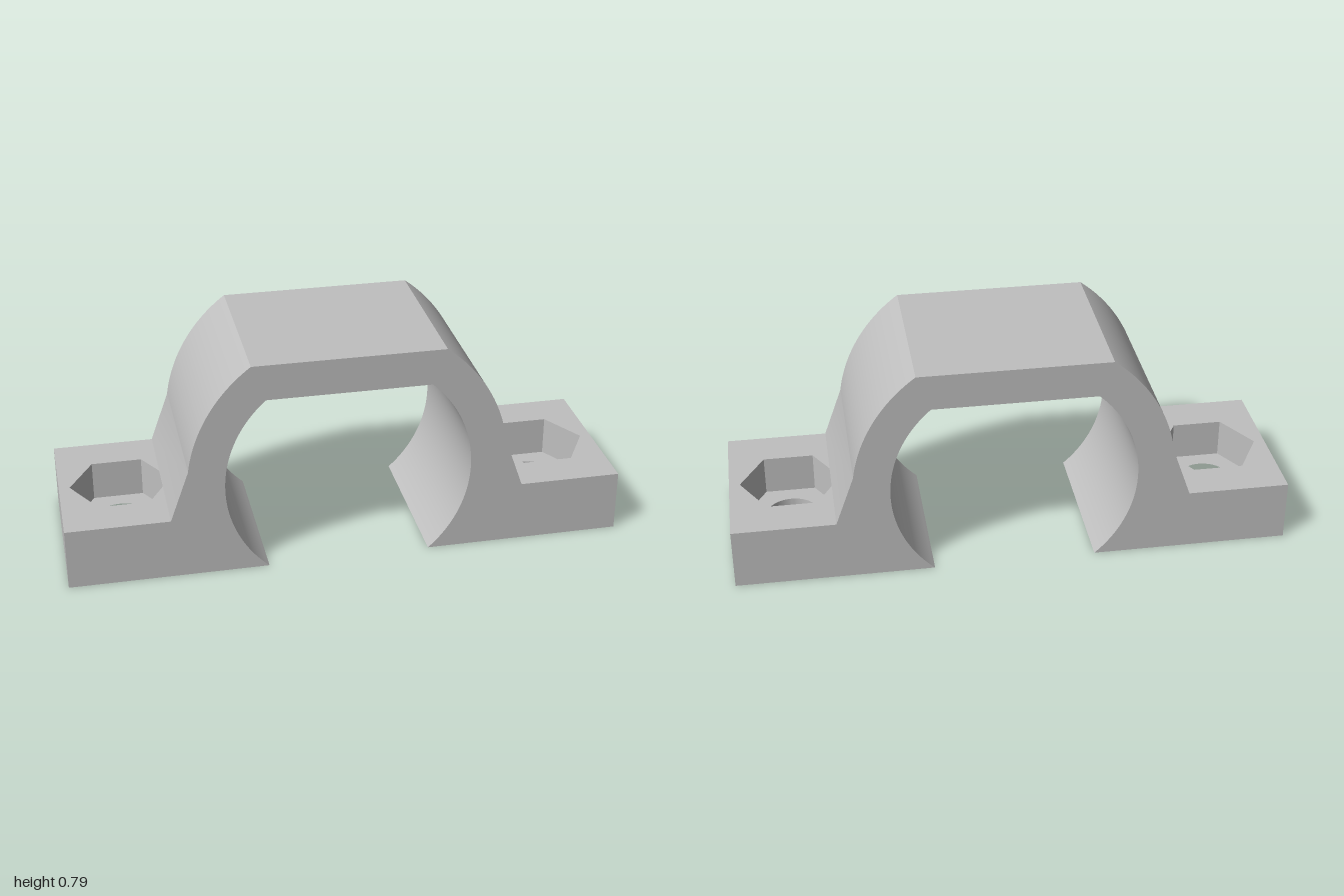
import * as THREE from 'three';
import { toCreasedNormals } from 'three/addons/utils/BufferGeometryUtils.js';

const DEPTH = 0.61;        // size along z
const FOOT = 0.224;        // foot height
const FLOOR = 0.08;        // floor of the hex pockets
const JOIN = 0.58;         // x where the foot pads meet the arch
const BOLT = 0.78;         // x of the bolt axes
const AXIS = 0.33;         // height of the bore axis
const INNER = 0.44, OUTER = 0.572;

const extrude = (shape, depth) => toCreasedNormals(
  new THREE.ExtrudeGeometry(shape, { depth, bevelEnabled: false, curveSegments: 32 }), 0.5);

// Arch profile: truncated bore inside, flat-topped shell with flared legs outside
function archShape() {
  const s = new THREE.Shape();
  const low = Math.asin((0.41 - AXIS) / OUTER);
  const high = Math.asin((0.79 - AXIS) / OUTER);
  const bore = Math.asin(AXIS / INNER);
  s.moveTo(INNER * Math.cos(bore), 0);
  s.lineTo(JOIN, 0);
  s.lineTo(JOIN, FOOT);
  s.lineTo(0.633, FOOT);
  s.absarc(0, AXIS, OUTER, low, high, false);
  s.absarc(0, AXIS, OUTER, Math.PI - high, Math.PI - low, false);
  s.lineTo(-0.633, FOOT);
  s.lineTo(-JOIN, FOOT);
  s.lineTo(-JOIN, 0);
  s.absarc(0, AXIS, INNER, Math.PI + bore, Math.PI - bore, true);
  s.absarc(0, AXIS, INNER, bore, -bore, true);
  return s;
}

// One horizontal layer of a foot pad with a hole through it
function padLayer(side, hole, y0, y1) {
  const a = side * JOIN, b = side, h = DEPTH / 2;
  const s = new THREE.Shape([[a, -h], [b, -h], [b, h], [a, h]].map(p => new THREE.Vector2(...p)));
  s.holes.push(hole);
  return extrude(s, y1 - y0).rotateX(-Math.PI / 2).translate(0, y0, 0);
}

export function createModel() {
  const group = new THREE.Group();
  const grey = new THREE.MeshStandardMaterial({ color: 0xbfbfbf });
  grey.name = 'grey';
  const add = (name, geometry) => {
    const mesh = new THREE.Mesh(geometry, grey);
    mesh.name = name;
    group.add(mesh);
  };

  add('arch', extrude(archShape(), DEPTH).translate(0, 0, -DEPTH / 2));

  for (const side of [1, -1]) {
    const label = side > 0 ? 'left' : 'right';
    // Round bolt hole through the bottom layer
    const round = new THREE.Path().absarc(side * BOLT, 0, 0.096, 0, Math.PI * 2, true);
    add(label + 'FootBase', padLayer(side, round, 0, FLOOR));
    // Hexagonal nut pocket above, reaching slightly under the arch leg
    const hex = new THREE.Path(Array.from({ length: 6 }, (_, i) => new THREE.Vector2(
      side * BOLT + 0.181 * Math.cos(i * Math.PI / 3), 0.181 * Math.sin(i * Math.PI / 3))));
    add(label + 'FootNutPocket', padLayer(side, hex, FLOOR, FOOT));
  }
  return group;
}
